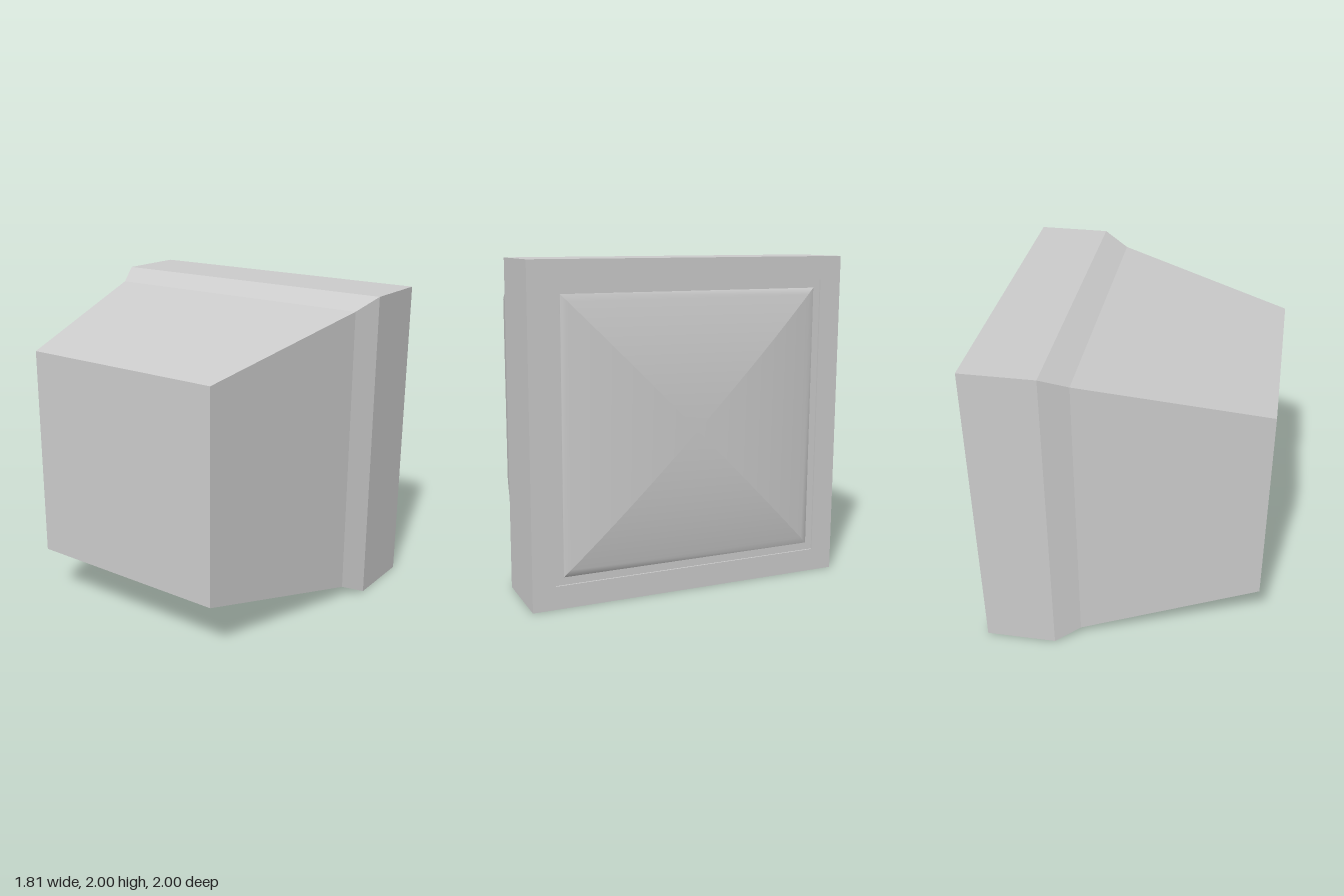
import * as THREE from 'three';

// Sweeps a profile of [x, halfSize] pairs into a square shell around the x axis.
// Corners stay sharp; smooth blends the normals along the profile.
function squareShell(profile, smooth) {
  const group = new THREE.Group();
  const material = new THREE.MeshStandardMaterial({ color: 0xcccccc });
  const points = [];
  const index = [];
  profile.forEach(([x, h], i) => {
    points.push(x, -h, h, x, h, h);
    if (i === 0) return;
    const a = 2 * i - 2;
    index.push(a, a + 2, a + 3, a, a + 3, a + 1);
  });
  let side = new THREE.BufferGeometry();
  side.setAttribute('position', new THREE.Float32BufferAttribute(points, 3));
  side.setIndex(index);
  if (!smooth) side = side.toNonIndexed();
  side.computeVertexNormals();
  for (let k = 0; k < 4; k++) {
    const mesh = new THREE.Mesh(side, material);
    mesh.rotation.x = k * Math.PI / 2;
    group.add(mesh);
  }
  return group;
}

function nameParts(group, name) {
  group.name = name;
  group.children.forEach((mesh) => { mesh.name = name + 'Side'; });
  return group;
}

export function createModel() {
  const model = new THREE.Group();
  model.name = 'monitor';

  // Tapered rear housing with its closed back
  const housing = squareShell([[-0.905, 0], [-0.905, 0.67], [0.22, 0.925], [0.38, 1]]);

  // Front frame with a shallow lip around the screen
  const frame = squareShell([[0.38, 1], [0.83, 1], [0.83, 0.86], [0.82, 0.86], [0.82, 0.81]]);

  // Bulging screen glass, creased along its diagonals
  const curve = [[0.82, 0.81]];
  const steps = 20;
  for (let i = 0; i <= steps; i++) {
    const t = 1 - i / steps;
    curve.push([0.83 + 0.075 * (1 - Math.pow(t, 2.3)), 0.81 * t]);
  }
  const screen = squareShell(curve, true);

  model.add(nameParts(housing, 'housing'), nameParts(frame, 'frame'), nameParts(screen, 'screen'));
  model.position.y = 1;
  const root = new THREE.Group();
  root.add(model);
  return root;
}
